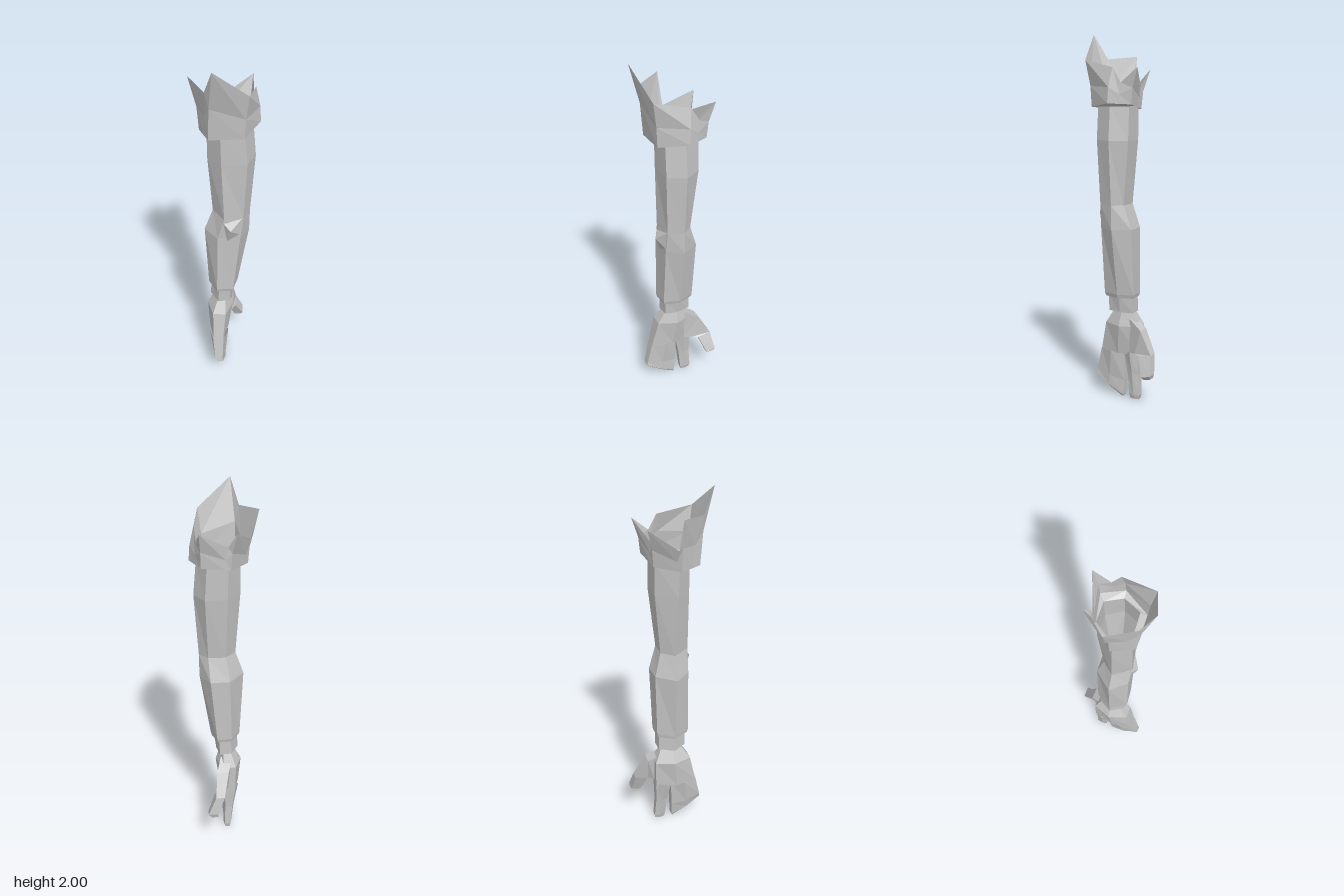
import * as THREE from 'three';

const grey = new THREE.MeshStandardMaterial({ color: 0xc4c4c4, side: THREE.DoubleSide, flatShading: true });
grey.name = 'plain grey';

// Faceted skin over a list of rings, each a list of [x, y, z] with equal counts
function loft(name, rings, capEnd = false) {
  const pos = [];
  const tri = (a, b, c) => pos.push(...a, ...b, ...c);
  for (let i = 0; i < rings.length - 1; i++) {
    const up = rings[i], low = rings[i + 1], n = up.length;
    for (let j = 0; j < n; j++) {
      const k = (j + 1) % n;
      tri(up[j], low[j], low[k]);
      tri(up[j], low[k], up[k]);
    }
  }
  if (capEnd) {
    const end = rings[rings.length - 1];
    for (let j = 1; j < end.length - 1; j++) tri(end[0], end[j], end[j + 1]);
  }
  const geo = new THREE.BufferGeometry();
  geo.setAttribute('position', new THREE.Float32BufferAttribute(pos, 3));
  geo.computeVertexNormals();
  const mesh = new THREE.Mesh(geo, grey);
  mesh.name = name;
  return mesh;
}

const mix = (a, b, t) => a.map((v, i) => v + (b[i] - v) * t);

// Level six-sided ring: side, front pair, side, back pair, as x,z values
const level = (y, ...p) => [0, 2, 4, 6, 8, 10].map(i => [p[i], y, p[i + 1]]);

// Flat hand section: narrow front and back edges, bulging sides
function handRing(yF, yB, xL, xR, zF, zB, w = 0.25) {
  const yM = (yF + yB) / 2, zM = (zF + zB) / 2, xM = (xL + xR) / 2, h = (xR - xL) * w;
  return [[xL, yM, zM], [xM - h, yF, zF], [xM + h, yF, zF],
    [xR, yM, zM], [xM + h, yB, zB], [xM - h, yB, zB]];
}

export function createModel() {
  const arm = new THREE.Group();
  arm.name = 'gauntletArm';

  // Flared collar with uneven points
  const hem = [[-0.127, 1.605, 0.03], [-0.075, 1.61, 0.14], [0.1, 1.62, 0.135],
    [0.175, 1.64, -0.005], [0.12, 1.635, -0.115], [-0.03, 1.61, -0.09]];
  const [L, FL, FR, R, BR, BL] = hem;
  const base = [L, mix(L, FL, 0.6), FL, FR, R, mix(R, BR, 0.5), BR, mix(BR, BL, 0.8), BL, mix(BL, L, 0.8)];
  const tips = [[-0.178, 1.885, 0.02], [-0.09, 1.87, 0.15], [-0.05, 2, 0.215], [0.12, 1.86, 0.16],
    [0.147, 1.82, -0.02], [0.14, 1.745, -0.065], [0.13, 1.82, -0.155], [-0.015, 1.73, -0.095],
    [-0.06, 1.81, -0.125], [-0.138, 1.72, 0.01]];
  const waist = base.map((b, i) => {
    const m = mix(b, tips[i], 0.2);
    m[1] = b[1] + (tips[i][1] - b[1]) * 0.45;
    return m;
  });
  arm.add(loft('collar', [tips, waist, base]));

  // Hollow sleeve, from the collar hem down to the wrist band
  arm.add(loft('sleeve', [
    hem,
    level(1.625, -0.09, 0.03, -0.02, 0.105, 0.1, 0.095, 0.14, 0, 0.09, -0.085, -0.02, -0.08),
    level(1.45, -0.09, 0.025, -0.015, 0.105, 0.115, 0.095, 0.155, 0, 0.1, -0.085, -0.015, -0.08),
    level(1.11, -0.065, 0.015, 0, 0.105, 0.1, 0.085, 0.132, 0, 0.085, -0.05, -0.01, -0.05),
    level(0.98, -0.11, 0.015, -0.035, 0.1, 0.085, 0.09, 0.13, 0, 0.075, -0.09, -0.03, -0.085),
    level(0.615, -0.092, 0.01, -0.04, 0.1, 0.05, 0.09, 0.072, 0, 0.04, -0.085, -0.04, -0.08),
    level(0.595, -0.09, 0.01, -0.04, 0.095, 0.045, 0.085, 0.066, 0, 0.035, -0.08, -0.04, -0.075),
  ]));
  arm.add(loft('wristBand', [
    level(0.595, -0.09, 0.01, -0.04, 0.095, 0.045, 0.085, 0.066, 0, 0.035, -0.08, -0.04, -0.075),
    level(0.603, -0.076, 0.01, -0.03, 0.085, 0.035, 0.075, 0.053, 0, 0.03, -0.072, -0.035, -0.068),
    level(0.51, -0.082, 0.01, -0.035, 0.083, 0.03, 0.073, 0.042, 0, 0.025, -0.074, -0.04, -0.07),
    handRing(0.505, 0.505, -0.06, 0.025, 0.06, -0.06),
  ]));

  // Raised point at the elbow
  const apex = [0.035, 1.05, 0.128];
  arm.add(loft('elbowPoint', [
    [apex, apex, apex, apex],
    [[-0.01, 1.09, 0.1], [0.015, 0.96, 0.094], [0.088, 1, 0.085], [0.098, 1.115, 0.083]],
  ]));

  // Palm
  const hand = new THREE.Group();
  hand.name = 'hand';
  hand.add(loft('palm', [
    handRing(0.505, 0.505, -0.06, 0.025, 0.06, -0.06),
    handRing(0.43, 0.43, -0.1, 0.045, 0.108, -0.095),
    handRing(0.265, 0.265, -0.087, 0.022, 0.145, -0.095),
  ], true));

  // Three joined fingers with a slanted end, and a separate forefinger
  hand.add(loft('joinedFingers', [
    handRing(0.27, 0.27, -0.087, 0.022, 0.145, -0.005, 0.28),
    handRing(0.14, 0.1, -0.064, 0.008, 0.175, 0, 0.3),
    handRing(0.115, 0.015, -0.05, 0.008, 0.18, 0.005, 0.3),
    handRing(0.105, 0.005, -0.04, 0, 0.172, 0.012, 0.3),
  ], true));
  hand.add(loft('forefinger', [
    handRing(0.28, 0.28, -0.08, 0.02, 0, -0.095, 0.28),
    handRing(0.15, 0.15, -0.055, 0.008, -0.024, -0.09, 0.32),
    handRing(0.03, 0.03, -0.04, 0.005, -0.035, -0.097, 0.35),
    handRing(0.008, 0.008, -0.035, 0, -0.04, -0.092, 0.35),
  ], true));

  // Thumb, four-sided, reaching back and outward
  const thumbRing = (yT, zT, yB, zB, x0, x1) => [[x1, yT, zT], [x0, yT, zT], [x0, yB, zB], [x1, yB, zB]];
  hand.add(loft('thumb', [
    thumbRing(0.475, -0.05, 0.28, -0.05, -0.05, 0.02),
    thumbRing(0.425, -0.13, 0.29, -0.095, -0.02, 0.045),
    thumbRing(0.3, -0.2, 0.285, -0.125, 0.008, 0.056),
    thumbRing(0.2, -0.217, 0.185, -0.165, 0.045, 0.1),
    thumbRing(0.175, -0.21, 0.17, -0.17, 0.045, 0.085),
  ], true));
  arm.add(hand);

  return arm;
}
